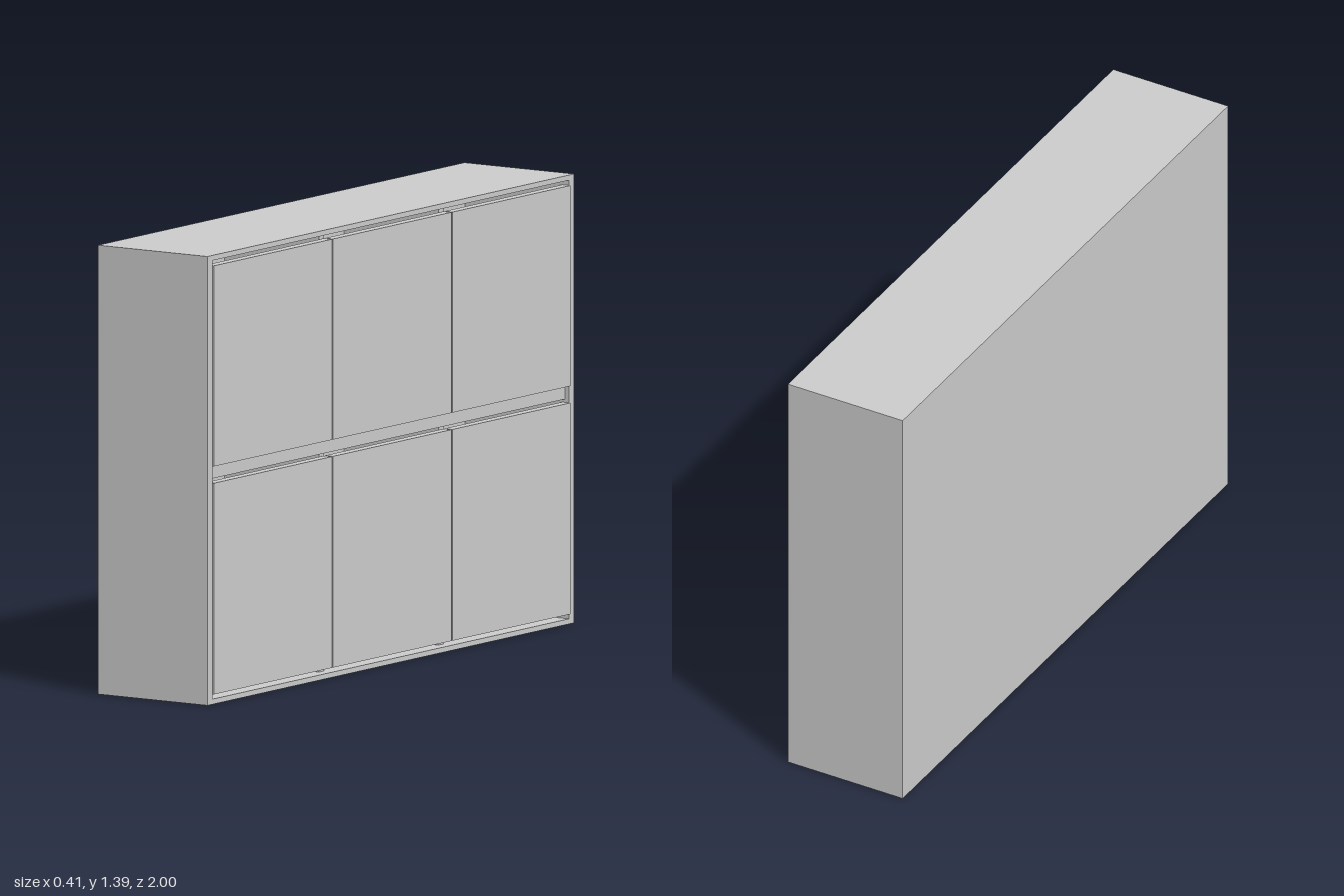
import * as THREE from 'three';

export function createModel() {
  const root = new THREE.Group();
  const mat = new THREE.MeshStandardMaterial({ color: 0xcccccc, flatShading: true });

  // Box given by its limits along each axis
  const box = (name, [x0, x1], [y0, y1], [z0, z1]) => {
    const mesh = new THREE.Mesh(new THREE.BoxGeometry(x1 - x0, y1 - y0, z1 - z0), mat);
    mesh.name = name;
    mesh.position.set((x0 + x1) / 2, (y0 + y1) / 2, (z0 + z1) / 2);
    root.add(mesh);
  };

  const H = 1.39, back = -0.205, rim = 0.2, doorFace = 0.205;
  const inner = 0.972, edge = 0.016;

  // Carcass, open towards +x
  box('backPanel', [back, back + 0.02], [0, H], [-1, 1]);
  box('bottomPanel', [back + 0.02, rim], [0, edge], [-1, 1]);
  box('topPanel', [back + 0.02, rim], [H - edge, H], [-1, 1]);
  for (const s of [-1, 1]) {
    const z = [s * inner, s].sort((a, b) => a - b);
    box(s > 0 ? 'frontSidePanel' : 'rearSidePanel', [back + 0.02, rim], [edge, H - edge], z);
  }

  // Set-back middle shelf between the two rows of doors
  box('middleShelf', [back + 0.02, 0.185], [0.695, 0.737], [-inner, inner]);

  // Upright dividers behind the door joints
  for (const z of [-0.326, 0.326]) {
    box('divider', [back + 0.02, 0.165], [edge, H - edge], [z - 0.014, z + 0.014]);
  }

  // Two rows of three doors, with finger gaps above and below
  const joints = [-inner, -0.326, 0.326, inner];
  const gap = 0.003;
  for (const [row, y] of [['lowerDoor', [0.031, 0.685]], ['upperDoor', [0.737, 1.358]]]) {
    for (let i = 0; i < 3; i++) {
      const z0 = joints[i] + (i > 0 ? gap : 0);
      const z1 = joints[i + 1] - (i < 2 ? gap : 0);
      box(row, [0.175, doorFace], y, [z0, z1]);
    }
  }
  return root;
}
